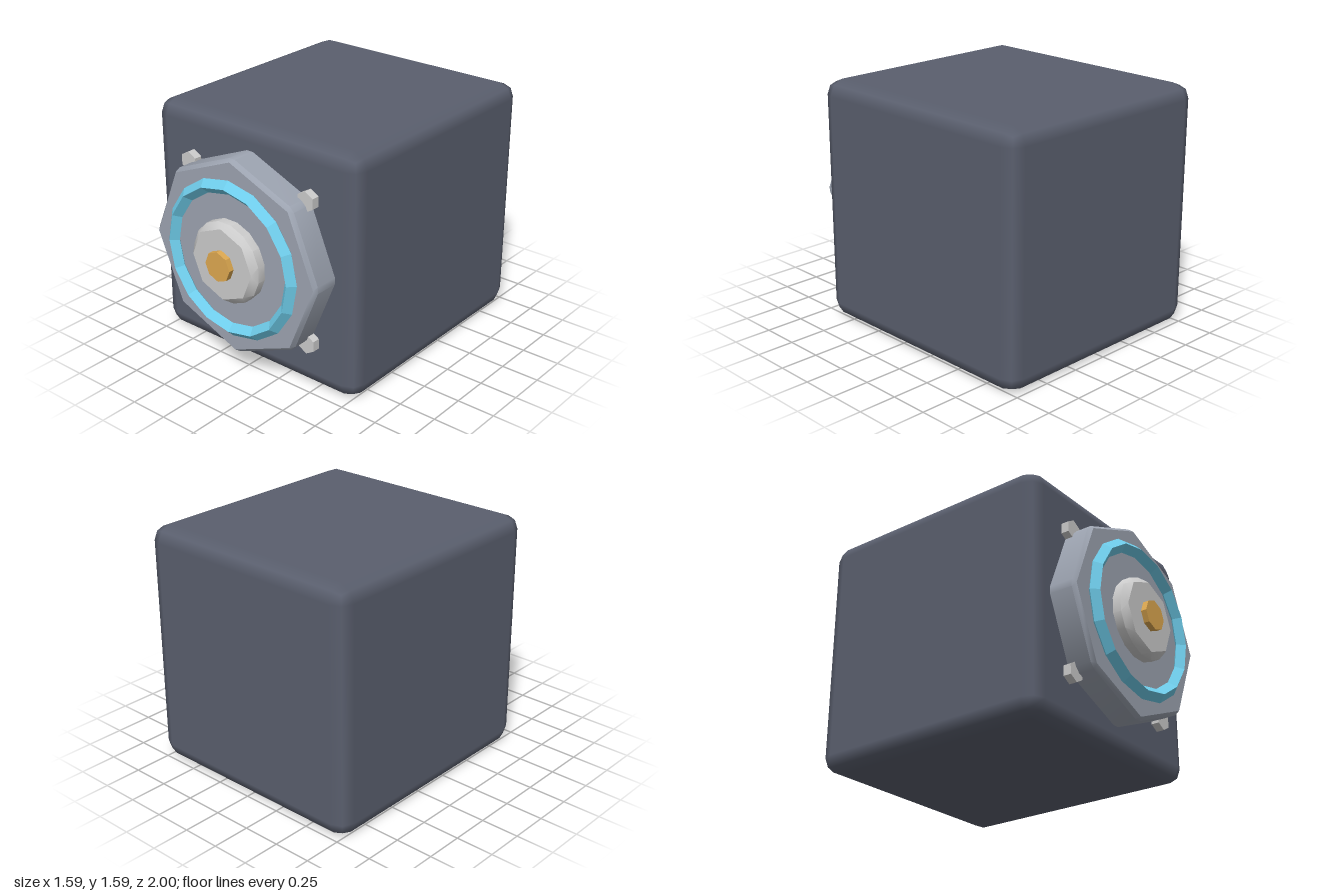
import * as THREE from 'three';
import { toCreasedNormals } from 'three/addons/utils/BufferGeometryUtils.js';
import { RoundedBoxGeometry } from 'three/addons/geometries/RoundedBoxGeometry.js';
import { ConvexGeometry } from 'three/addons/geometries/ConvexGeometry.js';

const CY = 0.797; // height of the dial axis

const material = (color, flatShading = false) => new THREE.MeshStandardMaterial({ color, flatShading });

// Octagonal block with every edge bevelled: each upright edge is split by +-spread degrees
function bevelledOctagon(r, capR, spread, z0, z1, z2) {
  const points = [];
  const add = (deg, radius, z) => {
    const a = THREE.MathUtils.degToRad(deg);
    points.push(new THREE.Vector3(radius * Math.cos(a), radius * Math.sin(a), z));
  };
  for (let i = 0; i < 8; i++) {
    for (const s of [-spread, spread]) {
      add(i * 45 + s, r, z0);
      add(i * 45 + s, r, z1);
    }
    add(i * 45, capR, z2);
  }
  return toCreasedNormals(new ConvexGeometry(points), 0.6);
}

// Straight prism along z
function prism(r, sides, z0, z1) {
  return new THREE.CylinderGeometry(r, r, z1 - z0, sides)
    .rotateX(Math.PI / 2)
    .translate(0, 0, (z0 + z1) / 2);
}

export function createModel() {
  const model = new THREE.Group();
  const add = (name, geometry, mat, x = 0, y = CY) => {
    const mesh = new THREE.Mesh(geometry, mat);
    mesh.name = name;
    mesh.position.set(x, y, 0);
    model.add(mesh);
  };

  // Body
  const body = new RoundedBoxGeometry(1.594, 1.594, 1.69, 1, 0.1).translate(0, 0, -0.155);
  add('body', body, material(0x5a5f6e));

  // Stacked dial on the front
  add('frontPlate', bevelledOctagon(0.645, 0.63, 2, 0.66, 0.845, 0.87), material(0x9ca3b0));
  add('ring', new THREE.TorusGeometry(0.476, 0.045, 4, 16).translate(0, 0, 0.884), material(0x6fcdeb, true));
  add('hub', bevelledOctagon(0.265, 0.236, 11.25, 0.84, 0.925, 0.963), material(0xcccccc));
  add('knob', prism(0.098, 8, 0.94, 1), material(0xdda850, true));

  // Hexagonal bolts around the plate
  const bolt = prism(0.066, 6, 0.66, 0.742);
  const boltMaterial = material(0xcccccc, true);
  for (const sx of [-1, 1]) {
    for (const sy of [-1, 1]) {
      add((sy > 0 ? 'upper' : 'lower') + (sx > 0 ? 'Left' : 'Right') + 'Bolt',
        bolt, boltMaterial, sx * 0.466, CY + sy * 0.47);
    }
  }
  return model;
}
